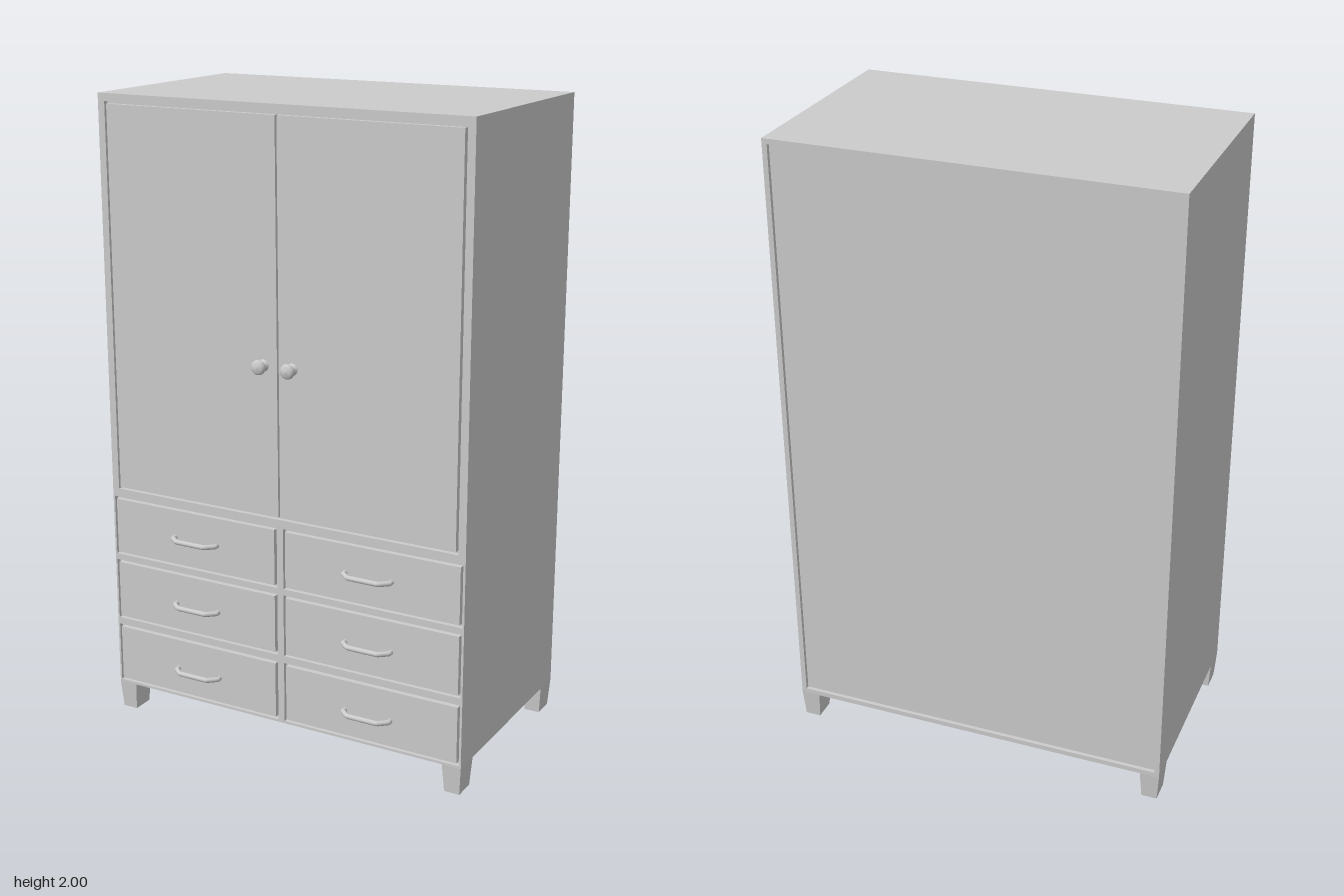
import * as THREE from 'three';

const material = new THREE.MeshStandardMaterial({ color: 0xcccccc });
const W = 0.615, BOTTOM = 0.09, TOP = 2, FRONT = 0.325, BACK = -0.375;

function add(parent, name, geometry, x = 0, y = 0, z = 0) {
  const mesh = new THREE.Mesh(geometry, material);
  mesh.name = name;
  mesh.position.set(x, y, z);
  parent.add(mesh);
  return mesh;
}

// Box given by its limits
function panel(parent, name, x0, x1, y0, y1, z0, z1) {
  return add(parent, name, new THREE.BoxGeometry(x1 - x0, y1 - y0, z1 - z0),
    (x0 + x1) / 2, (y0 + y1) / 2, (z0 + z1) / 2);
}

function trace(path, x0, x1, y0, y1) {
  path.moveTo(x0, y0);
  path.lineTo(x1, y0);
  path.lineTo(x1, y1);
  path.lineTo(x0, y1);
  path.closePath();
  return path;
}

// Full-size plate with rectangular openings
function frame(parent, name, openings, z0, z1) {
  const shape = trace(new THREE.Shape(), -W, W, BOTTOM, TOP);
  openings.forEach(o => shape.holes.push(trace(new THREE.Path(), ...o)));
  add(parent, name, new THREE.ExtrudeGeometry(shape, { depth: z1 - z0, bevelEnabled: false }), 0, 0, z0);
}

// Foot that narrows towards the floor
function footGeometry() {
  const geometry = new THREE.BoxGeometry(0.062, BOTTOM, 0.084);
  const p = geometry.attributes.position;
  for (let i = 0; i < p.count; i++) {
    if (p.getY(i) < 0) {
      p.setX(i, p.getX(i) * 0.8);
      p.setZ(i, p.getZ(i) * 0.84);
    }
  }
  geometry.computeVertexNormals();
  return geometry;
}

// Bent bar pull, centred on x = 0
function handleGeometry() {
  const points = [[-0.077, -0.004], [-0.077, 0.013], [-0.05, 0.036], [0.05, 0.036], [0.077, 0.013], [0.077, -0.004]]
    .map(([x, z]) => new THREE.Vector3(x, 0, z));
  const curve = new THREE.CatmullRomCurve3(points, false, 'catmullrom', 0.08);
  return new THREE.TubeGeometry(curve, 48, 0.008, 12);
}

// Turned knob pointing to +z
function knobGeometry() {
  const profile = [[0, 0], [0.019, 0], [0.018, 0.003], [0.011, 0.008], [0.009, 0.014], [0.011, 0.019],
    [0.019, 0.023], [0.023, 0.029], [0.022, 0.036], [0.015, 0.042], [0, 0.044]]
    .map(([r, h]) => new THREE.Vector2(r, h));
  return new THREE.LatheGeometry(profile, 28).rotateX(Math.PI / 2);
}

export function createModel() {
  const model = new THREE.Group();
  model.name = 'wardrobe';
  const gap = 0.008, face = FRONT + 0.002, groove = FRONT - 0.015;
  const rows = [[0.098, 0.295], [0.318, 0.52], [0.54, 0.735]];
  const columns = [[-0.609, -0.011], [0.011, 0.609]];

  // Carcass with grooved front and recessed back
  const doorOpening = [-0.592, 0.592, 0.762, 1.977];
  const openings = [doorOpening];
  rows.forEach(r => columns.forEach(c => openings.push([...c, ...r])));
  panel(model, 'carcass', -W, W, BOTTOM, TOP, BACK + 0.012, groove);
  frame(model, 'frontFrame', openings, groove, FRONT);
  frame(model, 'backRim', [[-W + 0.016, W - 0.016, BOTTOM + 0.016, TOP - 0.016]], BACK, BACK + 0.012);

  // Doors and knobs
  const [, dx, dy0, dy1] = doorOpening;
  for (const s of [-1, 1]) {
    const door = new THREE.Group();
    door.name = s > 0 ? 'leftDoor' : 'rightDoor';
    const a = s * 0.003, b = s * (dx - gap);
    panel(door, 'doorPanel', Math.min(a, b), Math.max(a, b), dy0 + gap, dy1 - gap, groove, face);
    add(door, 'doorKnob', knobGeometry(), s * 0.049, 1.238, FRONT);
    model.add(door);
  }

  // Six drawers with bar pulls
  const handle = handleGeometry();
  const handleHeights = [0.19, 0.415, 0.638];
  rows.forEach(([y0, y1], i) => columns.forEach(([x0, x1]) => {
    const drawer = new THREE.Group();
    drawer.name = 'drawer';
    panel(drawer, 'drawerFront', x0 + gap, x1 - gap, y0 + gap, y1 - gap, groove, face);
    add(drawer, 'drawerHandle', handle, Math.sign(x0 + x1) * 0.303, handleHeights[i], FRONT);
    model.add(drawer);
  }));

  // Feet at the corners
  const foot = footGeometry();
  for (const x of [-W + 0.031, W - 0.031])
    for (const z of [FRONT - 0.042, BACK + 0.042]) add(model, 'foot', foot, x, BOTTOM / 2, z);

  return model;
}
